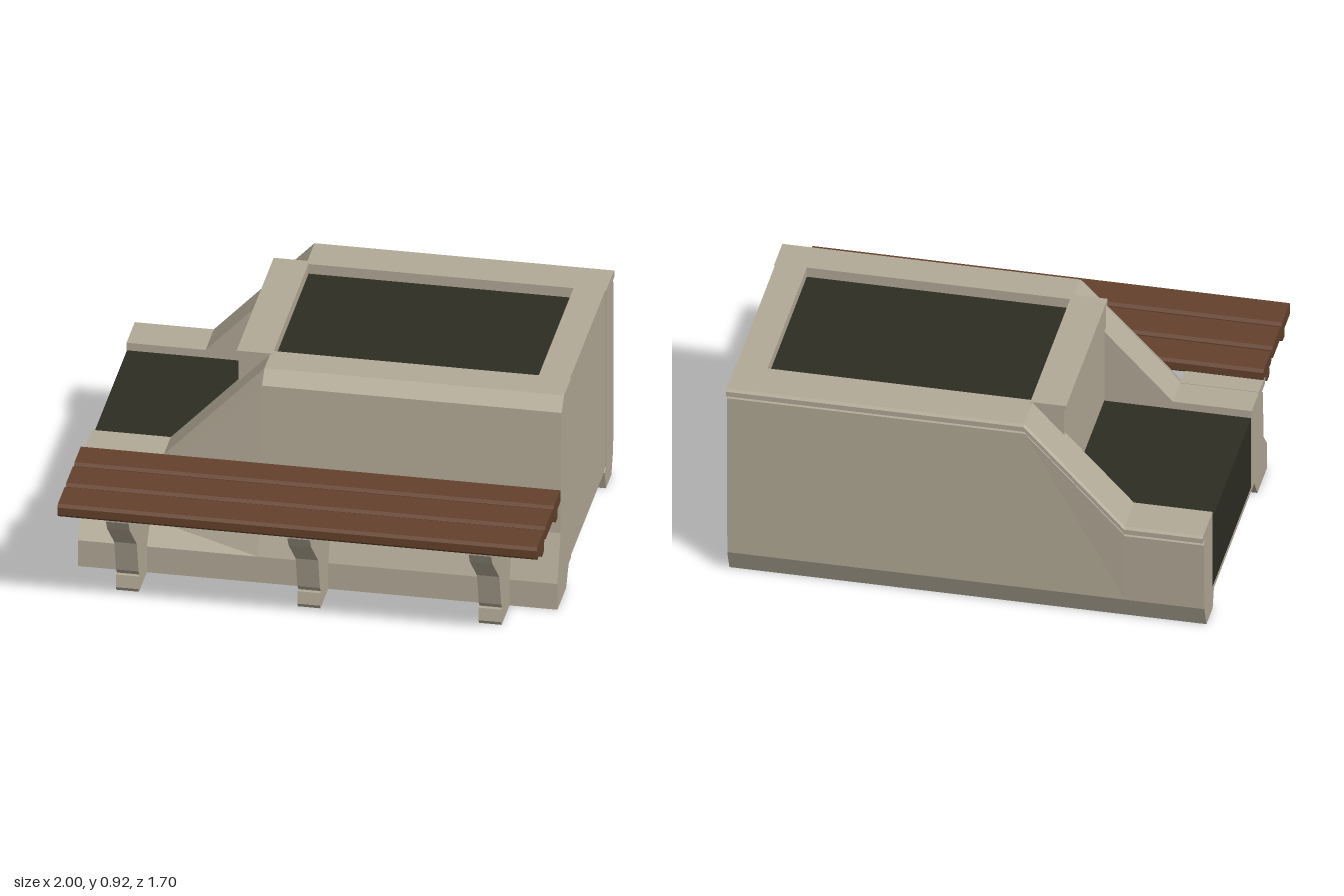
import * as THREE from 'three';

const mat = (name, color, flatShading = true) => {
  const m = new THREE.MeshStandardMaterial({ color });
  m.name = name;
  m.flatShading = flatShading;
  return m;
};

// Joins matching [z, y] outlines placed at stations along x, and caps both ends
function loft(stations) {
  const sections = stations.map(([x, pts]) => {
    const flat = pts.map(([z, y]) => new THREE.Vector2(z, y));
    if (THREE.ShapeUtils.area(flat) < 0) flat.reverse();
    return { flat, ring: flat.map(p => new THREE.Vector3(x, p.y, p.x)) };
  });
  const out = [];
  const tri = (...corners) => corners.forEach(p => out.push(p.x, p.y, p.z));
  for (let s = 0; s < sections.length - 1; s++) {
    const a = sections[s].ring, b = sections[s + 1].ring;
    for (let i = 0; i < a.length; i++) {
      const j = (i + 1) % a.length;
      tri(a[i], b[i], a[j]);
      tri(a[j], b[i], b[j]);
    }
  }
  const first = sections[0], last = sections[sections.length - 1];
  for (const [i, j, k] of THREE.ShapeUtils.triangulateShape(first.flat, []))
    tri(first.ring[i], first.ring[j], first.ring[k]);
  for (const [i, j, k] of THREE.ShapeUtils.triangulateShape(last.flat, []))
    tri(last.ring[i], last.ring[k], last.ring[j]);
  const g = new THREE.BufferGeometry();
  g.setAttribute('position', new THREE.Float32BufferAttribute(out, 3));
  g.computeVertexNormals();
  return g;
}

// Box given by its limits on each axis
function box(x0, x1, y0, y1, z0, z1) {
  return new THREE.BoxGeometry(x1 - x0, y1 - y0, z1 - z0)
    .translate((x0 + x1) / 2, (y0 + y1) / 2, (z0 + z1) / 2);
}

// Rectangle outline with cut corners
const chamfered = (z0, z1, y0, y1, c) => [
  [z0 + c, y0], [z1 - c, y0], [z1, y0 + c], [z1, y1 - c],
  [z1 - c, y1], [z0 + c, y1], [z0, y1 - c], [z0, y0 + c],
];

export function createModel() {
  const model = new THREE.Group();
  model.name = 'planterBench';
  const concrete = mat('concrete', 0xb3aa97);
  const soil = mat('soil', 0x2e2d23);
  const wood = mat('wood', 0x64412c);
  const add = (name, geometry, material, parent = model) => {
    const mesh = new THREE.Mesh(geometry, material);
    mesh.name = name;
    parent.add(mesh);
    return mesh;
  };

  const HIGH = 0.92, LOW = 0.475;

  // Side walls: low at one end, sloping up to full height
  const frontOutline = (top, waist) => [
    [0.10, 0.085], [0.15, 0.085], [0.21, 0], [0.40, 0], [0.40, 0.12],
    [0.33, waist], [top === HIGH ? 0.31 : 0.32, top - 0.05], [0.25, top], [0.10, top],
  ];
  const backOutline = top => [
    [-0.66, 0.1], [-0.635, 0.085], [-0.66, 0], [-0.78, 0], [-0.82, 0.1],
    [-0.83, top - 0.055], [-0.812, top - 0.032], [-0.85, top - 0.032],
    [-0.85, top - 0.01], [-0.84, top], [-0.66, top],
  ];
  const along = f => [[-1, f(LOW, 0.2)], [-0.67, f(LOW, 0.2)], [-0.25, f(HIGH, 0.32)], [1, f(HIGH, 0.32)]];
  add('frontWall', loft(along(frontOutline)), concrete);
  add('backWall', loft(along(backOutline)), concrete);

  // Lip on the low stretch of the front wall
  add('lowFrontLip', loft([-1, -0.67].map(x => [x,
    [[0.24, 0.44], [0.35, 0.44], [0.365, 0.452], [0.365, 0.468], [0.358, 0.477], [0.24, 0.477]]])), concrete);

  // End wall, divider and floor
  add('endWall', box(0.865, 0.996, 0.085, HIGH, -0.66, 0.10), concrete);
  add('divider', box(-0.382, -0.24, 0.1, 0.905, -0.68, 0.13), concrete);
  add('dividerCap', box(-0.39, -0.24, 0.905, 0.923, -0.68, 0.13), concrete);
  add('floor', box(-1, 0.99, 0.085, 0.1, -0.66, 0.11), concrete);
  for (const x of [0.76, -0.09])
    add('floorRunner', box(x - 0.045, x + 0.045, 0, 0.085, -0.6, 0.06), concrete);

  // Soil beds
  add('upperSoil', box(-0.24, 0.865, 0.8, 0.875, -0.66, 0.10), soil);
  add('lowerSoil', box(-0.998, -0.382, 0.1, 0.44, -0.66, 0.10), soil);

  // Bench brackets with feet
  const bracketOutline = [
    [0.30, 0.075], [0.56, 0.075], [0.58, 0.10], [0.62, 0.25], [0.775, 0.395],
    [0.80, 0.44], [0.80, 0.465], [0.30, 0.465],
  ];
  const footOutline = [
    [0.38, 0], [0.57, 0], [0.585, 0.02], [0.578, 0.075], [0.38, 0.075],
  ];
  for (const x of [-0.76, -0.003, 0.753]) {
    const bracket = new THREE.Group();
    bracket.name = 'benchBracket';
    model.add(bracket);
    for (const [name, outline] of [['bracketArm', bracketOutline], ['bracketFoot', footOutline]])
      add(name, loft([[x - 0.047, outline], [x + 0.047, outline]]), concrete, bracket);
  }

  // Bench slats and the rails under them
  const bench = new THREE.Group();
  bench.name = 'bench';
  model.add(bench);
  for (const [z0, z1] of [[0.328, 0.487], [0.5, 0.668], [0.68, 0.85]]) {
    const outline = chamfered(z0, z1, 0.467, 0.525, 0.012);
    add('seatSlat', loft([[-1, outline], [1, outline]]), wood, bench);
  }
  for (const z of [0.418, 0.719]) {
    const outline = chamfered(z - 0.024, z + 0.024, 0.427, 0.469, 0.006);
    add('seatRail', loft([[-1, outline], [1, outline]]), wood, bench);
  }
  return model;
}
